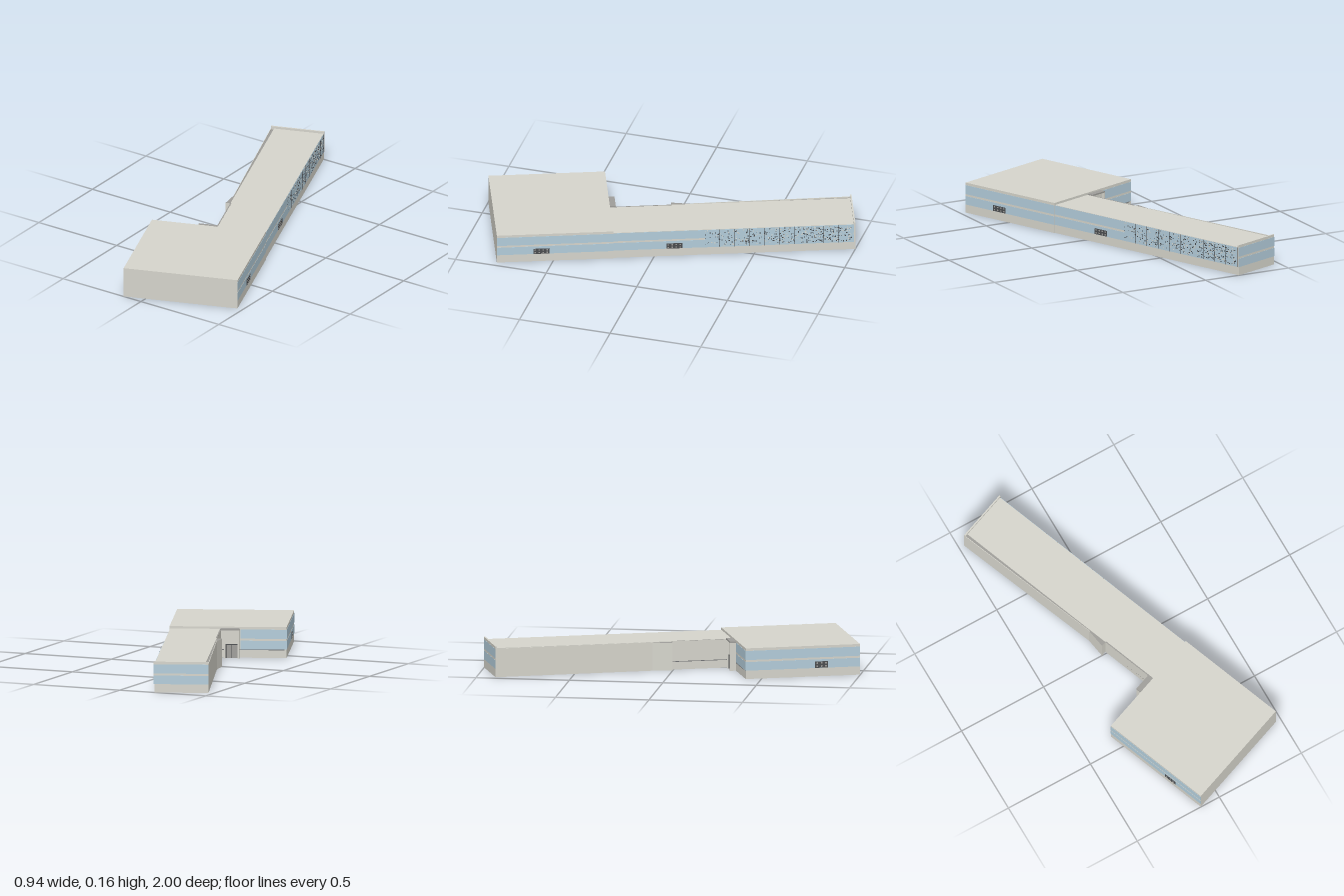
import * as THREE from 'three';

const mat = (name, color) => {
  const m = new THREE.MeshStandardMaterial({ color });
  m.name = name;
  return m;
};

export function createModel() {
  const concrete = mat('concrete', 0xd5d4cb);
  const glass = mat('pale blue glass', 0xb2ccda);
  const dark = mat('dark metal', 0x4a4c4f);
  const under = mat('underside grey', 0x727375);
  const shade = mat('low roof grey', 0x9e9d99);

  const model = new THREE.Group();
  model.name = 'building';
  const site = new THREE.Group();
  site.name = 'turnedPlan';
  site.rotation.y = 0.358;
  model.add(site);

  // box given by its extents: x across the wing, z along it
  const box = (name, m, x0, x1, y0, y1, z0, z1) => {
    const mesh = new THREE.Mesh(new THREE.BoxGeometry(x1 - x0, y1 - y0, z1 - z0), m);
    mesh.position.set((x0 + x1) / 2, (y0 + y1) / 2, (z0 + z1) / 2);
    mesh.name = name;
    site.add(mesh);
  };
  // upright prism over a plan outline; caps and sides can differ in colour
  const prism = (name, caps, sides, plan, y0, y1) => {
    const shape = new THREE.Shape(plan.map(([x, z]) => new THREE.Vector2(x, -z)));
    const g = new THREE.ExtrudeGeometry(shape, { depth: y1 - y0, bevelEnabled: false });
    g.rotateX(-Math.PI / 2).translate(0, y0, 0);
    const mesh = new THREE.Mesh(g, [caps, sides]);
    mesh.name = name;
    site.add(mesh);
  };

  const W = -0.455, E = 0.166, N = 0.277, S = 0.896;   // hall
  const wW = -0.107, wE = 0.162, wN = -1.007;          // wing
  const FLOOR = 0.045, HALL = 0.165, WING = 0.153, T = 0.01;

  // main volumes, raised above an open plinth
  box('hall', concrete, W, E, FLOOR, HALL, N, S);
  box('wing', concrete, wW, wE, FLOOR, WING, wN + 0.008, N);
  box('endWall', concrete, -0.125, E, FLOOR, HALL, wN, wN + 0.008);

  // dark underside with a small group of pale hatches
  box('hallUnderside', under, W + T, E - T, FLOOR - 0.004, FLOOR - 0.0005, N, S - T);
  box('wingUnderside', under, wW, wE - T, FLOOR - 0.004, FLOOR - 0.0005, wN + T, N);
  for (let i = 0; i < 4; i++)
    for (const x of [-0.125, -0.1])
      box('underHatch', shade, x, x + 0.018, FLOOR - 0.005, FLOOR - 0.004, 0.52 + i * 0.026, 0.527 + i * 0.026);

  // plinth walls
  box('plinthSouth', concrete, W, E, 0, FLOOR, S - T, S);
  box('plinthWest', concrete, W, W + T, 0, FLOOR, N, S - T);
  box('plinthEast', concrete, E - T, E, 0, FLOOR, N, S - T);
  box('plinthNorth', concrete, W + T, wW, 0, FLOOR, N, N + T);
  box('plinthWingEast', concrete, wE - T, wE, 0, FLOOR, wN + T, N);
  box('plinthWingWest', concrete, wW, wW + T, 0, FLOOR, -0.06, N);
  box('plinthEnd', concrete, -0.125, wE, 0, FLOOR, wN, wN + T);

  // outer west wall of the wing, with a narrow gutter behind it and a flared porch at its end
  prism('westWall', concrete, concrete,
    [[-0.125, wN + 0.008], [-0.122, wN + 0.008], [-0.112, -0.15], [-0.114, -0.15]], 0, WING);
  prism('westGutter', shade, shade,
    [[-0.123, wN + 0.008], [wW, wN + 0.008], [wW, -0.15], [-0.113, -0.15]], FLOOR, 0.147);
  prism('westPorch', shade, concrete,
    [[-0.114, -0.156], [wW, -0.156], [wW, -0.05], [-0.135, -0.05]], 0, 0.15);
  box('westRoofEdge', shade, wW - 0.001, wW + 0.005, WING, WING + 0.0006, -0.05, N);

  // two glass strips on each storey face
  const p = 0.001;
  for (const [y0, y1] of [[0.045, 0.091], [0.102, 0.151]]) {
    box('glassHallEast', glass, E, E + p, y0, y1, N, S);
    box('glassHallWest', glass, W - p, W, y0, y1, N, S);
    box('glassHallNorth', glass, W, -0.21, y0, y1, N - p, N);
    box('glassWingEast', glass, wE, wE + p, y0, y1, wN + 0.008, N);
    box('glassWingEnd', glass, -0.125, E, y0, y1, wN - p, wN);
  }

  // perforated screen on the far part of the wing
  const z0 = -0.998, z1 = -0.21, bays = 10;
  box('screenGlass', glass, wE + p, wE + 0.0018, FLOOR, 0.151, z0, z1);
  for (let i = 1; i <= bays; i++) {
    const z = z1 + (z0 - z1) * i / bays;
    box('screenPost', dark, wE, wE + 0.003, FLOOR, 0.151, z, z + 0.002);
  }
  let seed = 7;
  const rnd = () => (seed = (seed * 16807) % 2147483647) / 2147483647;
  for (let i = 0; i < 460; i++) {
    const z = z1 + (z0 + 0.008 - z1) * Math.pow(rnd(), 0.8);   // denser toward the far end
    const y = 0.05 + rnd() * 0.095;
    const h = 0.003 + rnd() * 0.003, l = 0.003 + rnd() * 0.005;
    box('screenPanel', i % 5 < 2 ? concrete : dark, wE, wE + 0.0026, y, y + h, z - l / 2, z + l / 2);
  }

  // framed openings: dark plate with small panes, on east (+1) or west (-1) faces
  const opening = (x, dir, zc, len, y0, y1, cols) => {
    const plate = (name, m, d, a, b, c, e) =>
      box(name, m, Math.min(x, x + dir * d), Math.max(x, x + dir * d), a, b, c, e);
    plate('openingFrame', dark, 0.003, y0, y1, zc - len / 2, zc + len / 2);
    const step = len / cols, half = (y1 - y0) / 2;
    for (let i = 0; i < cols; i++) {
      const c = zc - len / 2 + step * i;
      for (const a of [y0, y0 + half])
        plate('openingPane', shade, 0.004, a + 0.005, a + half - 0.004, c + step * 0.3, c + step * 0.7);
    }
  };
  opening(E, 1, 0.66, 0.085, 0.046, 0.077, 4);
  opening(wE, 1, -0.046, 0.085, 0.046, 0.077, 4);
  opening(W, -1, 0.687, 0.07, 0.046, 0.08, 3);

  // entrance porch in the inner corner
  const pW = -0.206, pE = -0.125, pN = 0.245;
  box('porchRoof', shade, pW, wW, 0.15, 0.158, pN, N);
  box('porchWestSide', concrete, pW, pW + 0.008, 0, 0.15, pN, N);
  box('porchEastSide', concrete, pE - 0.008, pE, 0, 0.15, pN, N);
  box('porchPanel', concrete, pW + 0.008, pE - 0.008, 0.075, 0.15, pN + 0.012, pN + 0.016);
  box('porchBeam', dark, pW + 0.008, pE - 0.008, 0.07, 0.075, pN + 0.008, N);
  box('porchDoor', shade, pW + 0.008, pE - 0.008, 0, 0.07, pN + 0.018, pN + 0.022);
  for (const x of [pW + 0.008, (pW + pE) / 2 - 0.001, pE - 0.011])
    box('porchMullion', dark, x, x + 0.003, 0, 0.075, pN + 0.008, pN + 0.018);

  return model;
}
